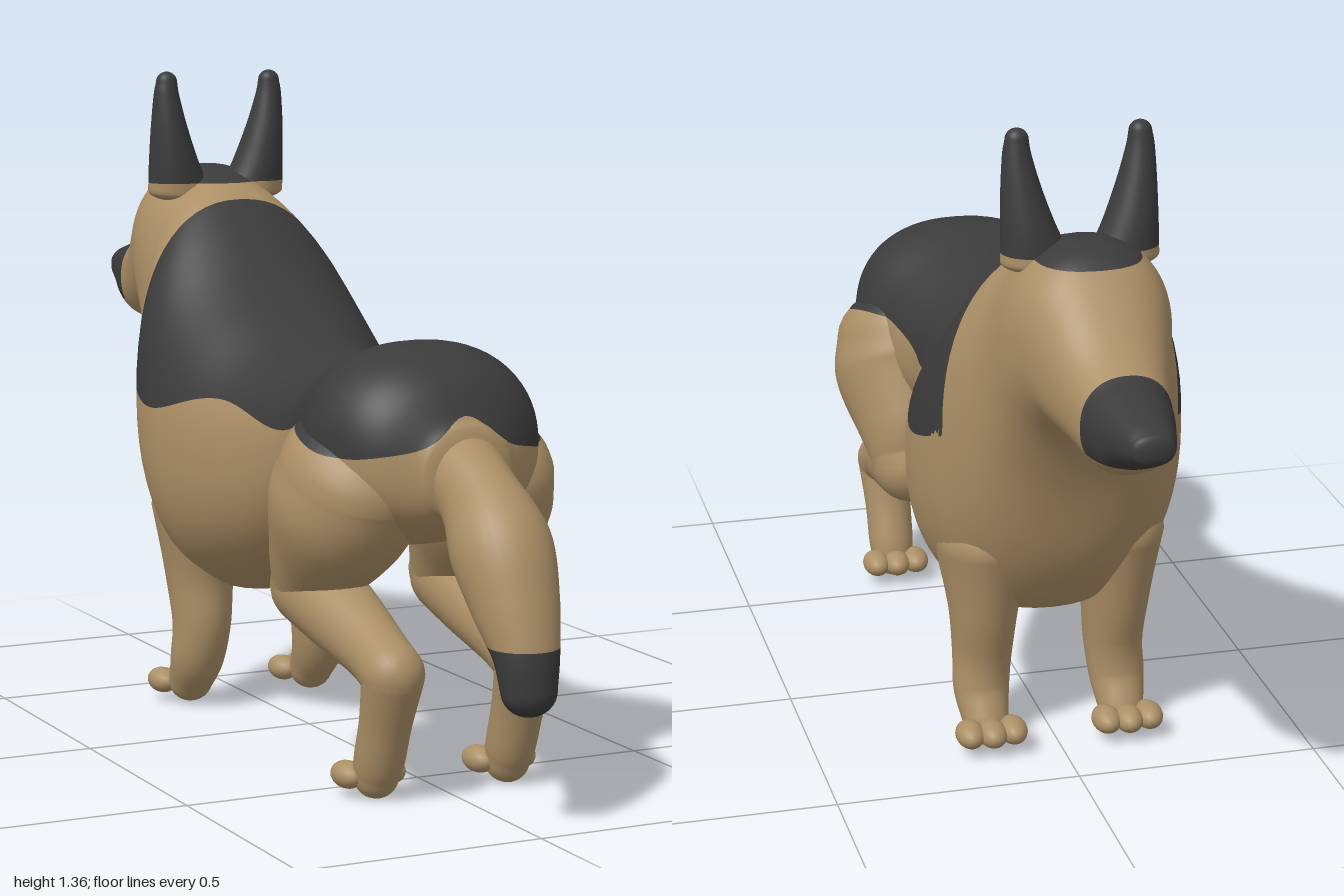
import * as THREE from 'three';

const tan = new THREE.MeshStandardMaterial({ color: 0xab8f66 });
tan.name = 'tanCoat';
const dark = new THREE.MeshStandardMaterial({ color: 0x3b3b3b });
dark.name = 'darkCoat';

// Coat pattern: positive where the coat is dark
function coat({ x, y, z }) {
  const tailGap = 0.065 * Math.exp(-((x / 0.06) ** 2)) * THREE.MathUtils.smoothstep(z, 0.5, 0.66);
  const saddle = Math.min(y - (0.7 + 0.02 * Math.cos(5 * Math.PI * z) + tailGap), z + 0.345);
  const cap = y - 1.13;
  const muzzle = Math.min(-0.81 - z, y - 0.838);
  const tailTip = Math.min(0.36 - y, z - 0.86);
  return Math.max(saddle, cap, muzzle, tailTip);
}

// Cuts every triangle along the coat edge and sorts the pieces into two material groups
function paint(geo) {
  const P = geo.attributes.position, N = geo.attributes.normal, index = geo.index;
  const sides = [[], []];
  const vertex = (i) => {
    const p = new THREE.Vector3().fromBufferAttribute(P, i);
    return { p, n: new THREE.Vector3().fromBufferAttribute(N, i), f: coat(p) };
  };
  const all = Array.from({ length: P.count }, (_, i) => vertex(i));
  for (let i = 0; i < index.count; i += 3) {
    const tri = [0, 1, 2].map((k) => all[index.getX(i + k)]);
    [-1, 1].forEach((sign, side) => {
      const poly = [];
      tri.forEach((a, k) => {
        const b = tri[(k + 1) % 3];
        const inA = a.f * sign > 0 || (a.f === 0 && sign < 0);
        const inB = b.f * sign > 0 || (b.f === 0 && sign < 0);
        if (inA) poly.push(a);
        if (inA !== inB) {
          const t = a.f / (a.f - b.f);
          poly.push({ p: a.p.clone().lerp(b.p, t), n: a.n.clone().lerp(b.n, t).normalize() });
        }
      });
      for (let k = 1; k + 1 < poly.length; k++) sides[side].push(poly[0], poly[k], poly[k + 1]);
    });
  }
  const verts = [...sides[0], ...sides[1]];
  const out = new THREE.BufferGeometry();
  out.setAttribute('position', new THREE.Float32BufferAttribute(verts.flatMap((v) => v.p.toArray()), 3));
  out.setAttribute('normal', new THREE.Float32BufferAttribute(verts.flatMap((v) => v.n.toArray()), 3));
  out.addGroup(0, sides[0].length, 0);
  out.addGroup(sides[0].length, sides[1].length, 1);
  return out;
}

// Smooth loft through stations [x, y, z, half width, half depth], with rounded ends
function loft(name, stations, { rings = 32, sides = 32, cap = [1, 1], power = 1, direction = null } = {}) {
  const path = new THREE.CatmullRomCurve3(stations.map((s) => new THREE.Vector3(s[0], s[1], s[2])), false, 'catmullrom');
  const size = new THREE.CatmullRomCurve3(stations.map((s) => new THREE.Vector3(s[3], s[4] ?? s[3], 0)), false, 'catmullrom');
  const list = [];
  const CAP = 7;
  const addRing = (t, angle, end) => {
    const T = direction ? direction.clone() : path.getTangent(t);
    const r = size.getPoint(t);
    const reach = Math.min(r.x, r.y) * Math.sin(angle) * (end < 0 ? -cap[0] : cap[1]);
    const k = Math.max(Math.cos(angle), 0.001);
    list.push({ c: path.getPoint(t).addScaledVector(T, reach), T, rx: r.x * k, ry: r.y * k });
  };
  for (let i = CAP; i > 0; i--) addRing(0, (i / CAP) * Math.PI / 2, -1);
  for (let i = 0; i <= rings; i++) addRing(i / rings, 0, 1);
  for (let i = 1; i <= CAP; i++) addRing(1, (i / CAP) * Math.PI / 2, 1);

  const X = new THREE.Vector3(1, 0, 0), pos = [], index = [];
  const soften = (v) => Math.sign(v) * Math.abs(v) ** power;
  list.forEach(({ c, T, rx, ry }, i) => {
    const N = T.clone().cross(X).normalize();
    for (let j = 0; j < sides; j++) {
      const a = (j / sides) * Math.PI * 2;
      const p = c.clone().addScaledVector(X, rx * soften(Math.cos(a))).addScaledVector(N, ry * soften(Math.sin(a)));
      pos.push(p.x, p.y, p.z);
      if (i + 1 < list.length) {
        const a0 = i * sides + j, b0 = i * sides + ((j + 1) % sides);
        index.push(a0, b0, a0 + sides, b0, b0 + sides, a0 + sides);
      }
    }
  });
  const geo = new THREE.BufferGeometry();
  geo.setAttribute('position', new THREE.Float32BufferAttribute(pos, 3));
  geo.setIndex(index);
  geo.computeVertexNormals();
  const mesh = new THREE.Mesh(paint(geo), [tan, dark]);
  mesh.name = name;
  return mesh;
}

// Three rounded toes at the front of a paw
function toes(x, z) {
  const group = new THREE.Group();
  group.name = 'toes';
  for (const k of [-1, 0, 1]) {
    const toe = new THREE.Mesh(new THREE.SphereGeometry(1, 20, 14), tan);
    toe.name = 'toe';
    toe.scale.set(0.03, 0.027, 0.045);
    toe.position.set(x + k * 0.045, 0.054, z - (k ? 0 : 0.008));
    group.add(toe);
  }
  return group;
}

export function createModel() {
  const dog = new THREE.Group();
  dog.name = 'dog';

  // Trunk, neck and head: z, top, bottom, half width
  const trunk = [
    [0.70, 0.75, 0.56, 0.10], [0.65, 0.825, 0.53, 0.175], [0.58, 0.87, 0.50, 0.22],
    [0.48, 0.885, 0.48, 0.24], [0.36, 0.85, 0.48, 0.20], [0.25, 0.825, 0.485, 0.17],
    [0.14, 0.83, 0.415, 0.185], [0.02, 0.845, 0.345, 0.225], [-0.10, 0.90, 0.295, 0.265],
    [-0.20, 0.965, 0.27, 0.28], [-0.30, 1.06, 0.30, 0.265], [-0.36, 1.11, 0.36, 0.235],
    [-0.42, 1.14, 0.46, 0.20], [-0.48, 1.16, 0.63, 0.18], [-0.54, 1.165, 0.745, 0.168],
    [-0.60, 1.15, 0.795, 0.15], [-0.66, 1.10, 0.80, 0.13], [-0.74, 1.025, 0.80, 0.105],
    [-0.81, 0.985, 0.795, 0.09], [-0.86, 0.97, 0.808, 0.08], [-0.91, 0.957, 0.838, 0.066],
    [-0.96, 0.945, 0.86, 0.052], [-0.985, 0.935, 0.873, 0.042],
  ];
  dog.add(loft('trunkAndHead', trunk.map(([z, top, bottom, w]) => [0, (top + bottom) / 2, z, w, (top - bottom) / 2]),
    { rings: 132, sides: 64, cap: [0.25, 0.45], power: 0.88, direction: new THREE.Vector3(0, 0, -1) }));

  dog.add(loft('tail', [
    [0, 0.68, 0.58, 0.09], [0, 0.655, 0.66, 0.085], [0, 0.61, 0.75, 0.078, 0.085], [0, 0.53, 0.835, 0.098, 0.1],
    [0, 0.43, 0.895, 0.085, 0.082], [0, 0.35, 0.935, 0.066, 0.06], [0, 0.28, 0.948, 0.055, 0.05],
  ], { rings: 48 }));

  for (const s of [1, -1]) {
    const side = s > 0 ? 'left' : 'right';
    const x = 0.145 * s;

    dog.add(loft(side + 'Ear', [
      [0.085 * s, 1.11, -0.478, 0.072, 0.058], [0.1 * s, 1.17, -0.474, 0.056, 0.054], [0.114 * s, 1.25, -0.468, 0.04, 0.042],
      [0.122 * s, 1.32, -0.464, 0.028, 0.028], [0.122 * s, 1.35, -0.463, 0.023, 0.022],
    ], { cap: [0.4, 1] }));

    const hind = new THREE.Group();
    hind.name = side + 'HindLeg';
    hind.add(
      loft('thigh', [
        [0.14 * s, 0.64, 0.50, 0.142, 0.165], [0.15 * s, 0.56, 0.46, 0.145, 0.16],
        [0.155 * s, 0.46, 0.385, 0.108, 0.12], [0.155 * s, 0.395, 0.345, 0.087, 0.085],
      ], { cap: [0.75, 1], sides: 40 }),
      loft('shin', [
        [0.155 * s, 0.385, 0.345, 0.086], [0.15 * s, 0.345, 0.47, 0.078],
        [x, 0.30, 0.60, 0.064], [x, 0.27, 0.675, 0.062],
      ]),
      loft('hindPastern', [
        [x, 0.265, 0.675, 0.061], [x, 0.17, 0.645, 0.052], [x, 0.09, 0.618, 0.05], [x, 0.055, 0.605, 0.045],
      ]),
      toes(x, 0.57),
    );
    dog.add(hind);

    const fore = new THREE.Group();
    fore.name = side + 'ForeLeg';
    fore.add(
      loft('foreLimb', [
        [0.14 * s, 0.45, -0.25, 0.1, 0.13], [0.14 * s, 0.31, -0.255, 0.073, 0.09], [0.14 * s, 0.2, -0.245, 0.062, 0.072],
        [x, 0.12, -0.258, 0.058, 0.058], [x, 0.06, -0.295, 0.048, 0.046],
      ]),
      toes(x, -0.345),
    );
    dog.add(fore);
  }
  return dog;
}
